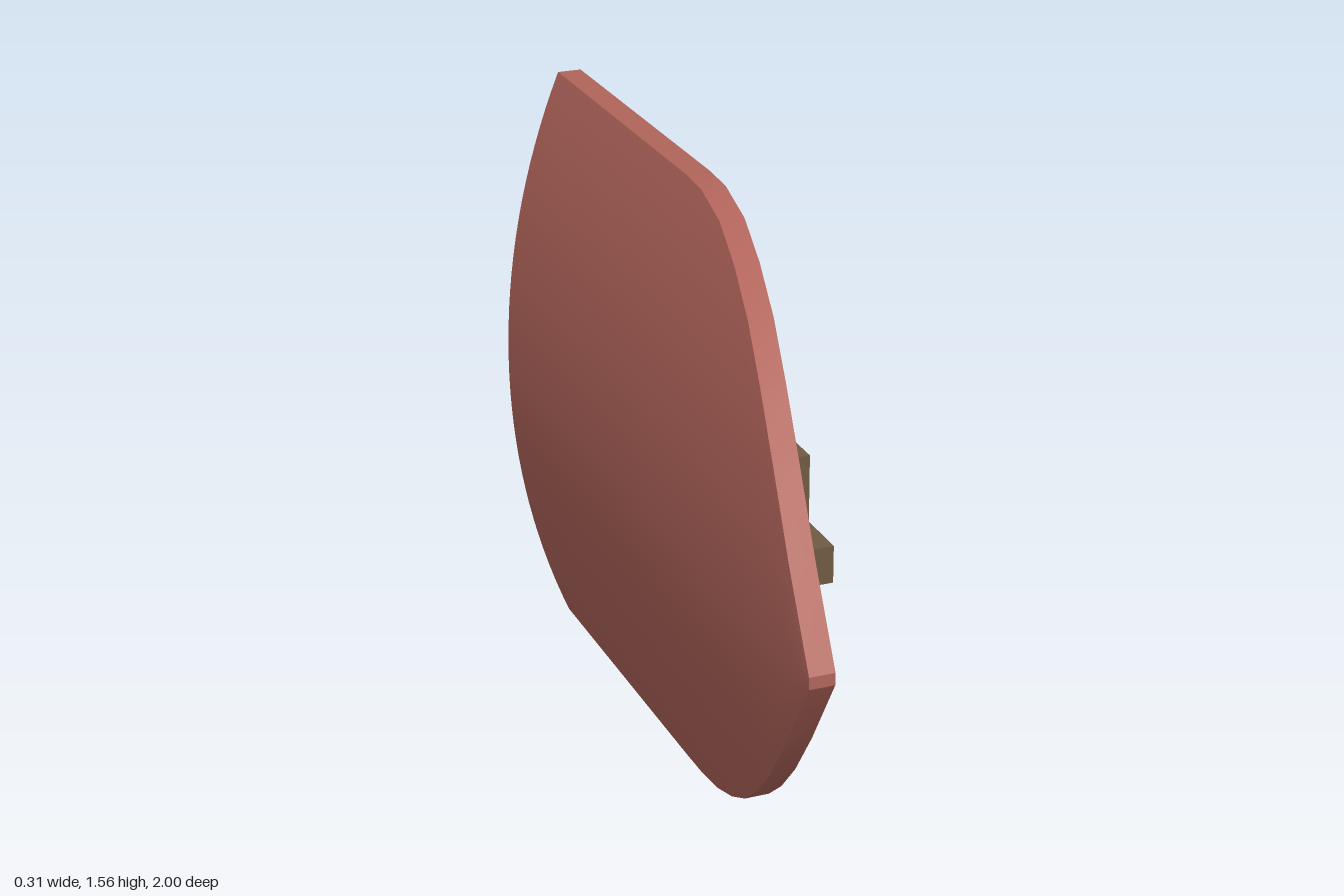
import * as THREE from 'three';

const MID_Y = 0.78;      // height of the shield's centre line
const BOW = 0.157;       // depth of the curve
const THICK = 0.062;

// Outline from back to tip: [z, half height]
const OUTLINE = [
  [-1, 0.78], [-0.1, 0.78], [0, 0.775], [0.143, 0.745], [0.286, 0.687], [0.429, 0.61],
  [0.571, 0.507], [0.714, 0.38], [0.857, 0.22], [1, 0.015],
];

// Circular arc across the height: deepest at the centre line, 0 at the edges
const RADIUS = (MID_Y ** 2 + BOW ** 2) / (2 * BOW);
const arcX = (dy) => RADIUS - BOW - Math.sqrt(RADIUS ** 2 - dy ** 2);

// A segmented box bent to the outline and arc; its faces keep sharp borders
function shieldGeometry() {
  const n = OUTLINE.length - 1;
  const geometry = new THREE.BoxGeometry(1, 2, 1, 1, 32, n);
  const pos = geometry.attributes.position;
  for (let i = 0; i < pos.count; i++) {
    const [z, half] = OUTLINE[Math.round((pos.getZ(i) + 0.5) * n)];
    const dy = pos.getY(i) * half;
    const side = pos.getX(i) > 0 ? THICK : 0;
    pos.setXYZ(i, arcX(dy) + side, MID_Y + dy, z);
  }
  geometry.computeVertexNormals();
  return geometry;
}

export function createModel() {
  const group = new THREE.Group();
  const red = new THREE.MeshStandardMaterial({ color: 0xb0645a });
  const brown = new THREE.MeshStandardMaterial({ color: 0x705a44 });

  const add = (name, geometry, material, x = 0, y = 0, z = 0) => {
    const mesh = new THREE.Mesh(geometry, material);
    mesh.name = name;
    mesh.position.set(x, y, z);
    group.add(mesh);
  };

  add('shieldPlate', shieldGeometry(), red);

  // Crossed grip bars on the hollow side
  add('armBar', new THREE.BoxGeometry(0.062, 0.094, 0.625), brown, 0.099, MID_Y + 0.003, 0.177);
  add('handGrip', new THREE.BoxGeometry(0.062, 0.375, 0.094), brown, 0.126, MID_Y + 0.003, 0.24);

  return group;
}
